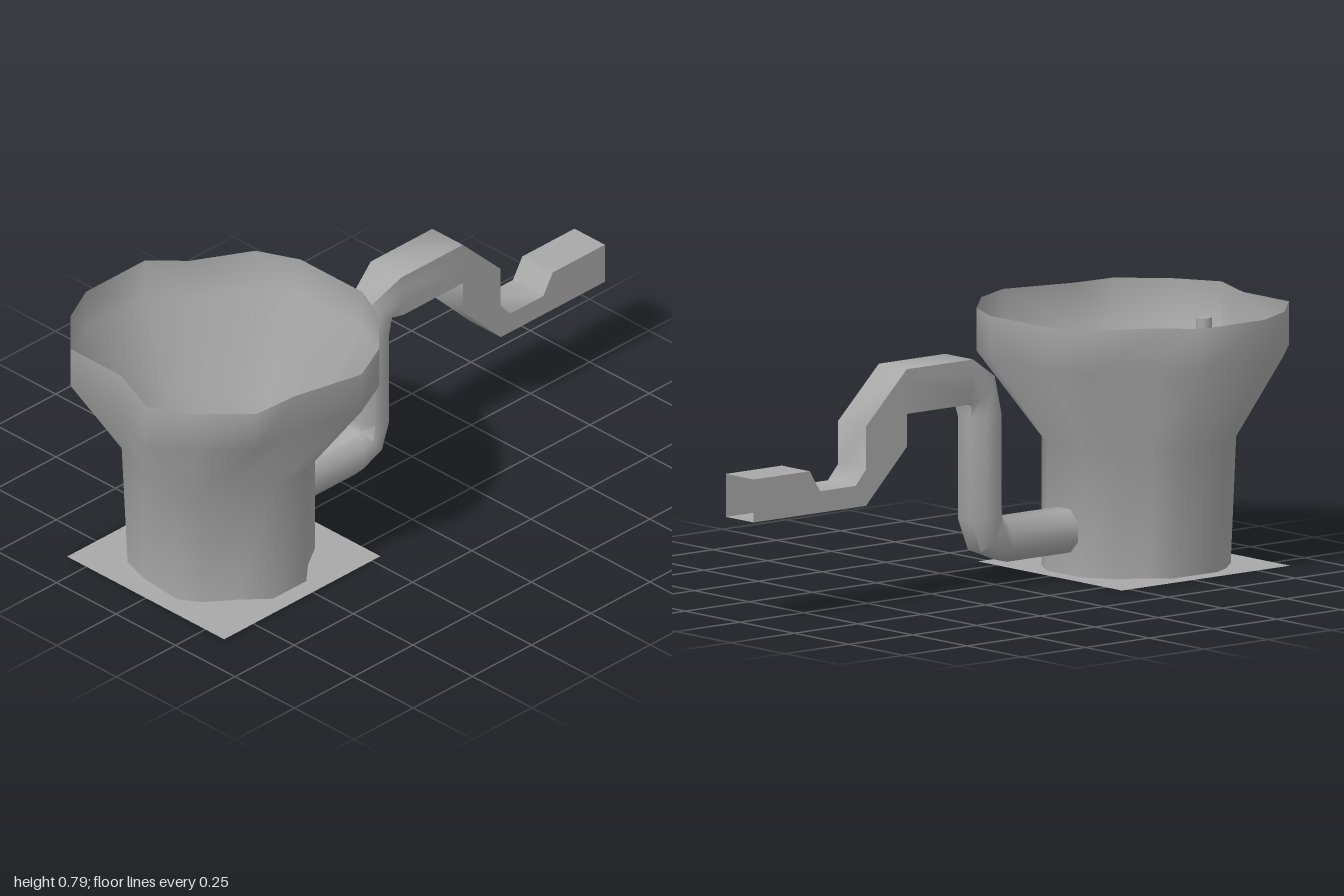
import * as THREE from 'three';
import { toCreasedNormals } from 'three/addons/utils/BufferGeometryUtils.js';

const CX = -0.545; // bowl axis

// Skin a list of closed rings of equal length
function loft(rings, crease) {
  const n = rings[0].length, index = [];
  for (let r = 0; r < rings.length - 1; r++) {
    for (let i = 0; i < n; i++) {
      const j = (i + 1) % n;
      const a = r * n + i, b = r * n + j, c = a + n, d = b + n;
      index.push(a, c, b, b, c, d);
    }
  }
  const geo = new THREE.BufferGeometry();
  geo.setAttribute('position', new THREE.Float32BufferAttribute(rings.flat(2), 3));
  geo.setIndex(index);
  return toCreasedNormals(geo, crease);
}

// Irregular outlines as [x, z], matched point for point
const rim = [
  [-0.09, 0.13], [-0.15, 0.26], [-0.28, 0.39], [-0.42, 0.455], [-0.65, 0.40], [-0.80, 0.39],
  [-0.93, 0.26], [-1, 0.13], [-0.93, -0.05], [-0.93, -0.26], [-0.80, -0.39], [-0.67, -0.455],
  [-0.42, -0.455], [-0.33, -0.36], [-0.15, -0.26], [-0.09, -0.13],
];
const neck = [
  [-0.27, 0.08], [-0.32, 0.16], [-0.40, 0.21], [-0.47, 0.272], [-0.61, 0.272], [-0.69, 0.20],
  [-0.77, 0.14], [-0.815, 0.07], [-0.80, -0.08], [-0.77, -0.18], [-0.70, -0.24], [-0.64, -0.272],
  [-0.47, -0.272], [-0.41, -0.22], [-0.33, -0.17], [-0.27, -0.08],
];

function ring(outline, y, scale = 1, back = 1) {
  return outline.map(([x, z]) => [CX + (x - CX) * scale, y, z * scale * (z < 0 ? back : 1)]);
}

export function createModel() {
  const group = new THREE.Group();
  const grey = new THREE.MeshStandardMaterial({ color: 0xa8a8a8, side: THREE.DoubleSide });
  grey.name = 'plain grey';
  const add = (name, geometry) => {
    const mesh = new THREE.Mesh(geometry, grey);
    mesh.name = name;
    group.add(mesh);
    return mesh;
  };

  // Open bowl: straight neck, flare, upright rim
  add('bowl', loft([
    ring(neck, 0), ring(neck, 0.39, 1, 1.14), ring(rim, 0.655), ring(rim, 0.785),
  ], 1.0));

  // Low mound inside the neck
  add('innerMound', loft([
    ring(neck, 0.01, 0.84), ring(neck, 0.07, 0.5), ring(neck, 0.1, 0.001),
  ], 1.2));

  // Thin square sheet under the bowl
  const plate = add('basePlate', new THREE.PlaneGeometry(0.66, 0.66));
  plate.rotation.x = -Math.PI / 2;
  plate.position.set(CX, 0.001, 0);

  // Small stud on the inner ledge
  const stud = add('stud', new THREE.CylinderGeometry(0.024, 0.024, 0.05, 12));
  stud.position.set(-0.93, 0.66, 0.13);

  // Pipe sections: [lower/outer x, y, upper/inner x, y, flat half width]
  const W = 0.064, R = 0.03;
  const sections = [
    [-0.30, 0.07, -0.30, 0.20, R],
    [-0.02, 0.07, -0.01, 0.20, R],
    [0.08, 0.11, 0.00, 0.21, R],
    [0.12, 0.21, 0.00, 0.24, R],
    [0.12, 0.52, 0.00, 0.52, R],
    [0.125, 0.56, 0.035, 0.64, 0.04],
    [0.15, 0.57, 0.14, 0.705, W],
    [0.40, 0.57, 0.40, 0.705, W],
    [0.40, 0.47, 0.56, 0.55, W],
    [0.56, 0.31, 0.56, 0.42, W],
    [0.60, 0.31, 0.60, 0.375, W],
    [0.74, 0.31, 0.74, 0.375, W],
    [0.78, 0.31, 0.78, 0.44, W],
    [1.00, 0.31, 1.00, 0.44, W],
  ];
  const rings = sections.map(([ax, ay, bx, by, f]) => {
    const at = (u, z) => [ax + (bx - ax) * u, ay + (by - ay) * u, z];
    const g = 0.27;
    return [
      at(0, -f), at(0, f), at(g, W), at(1 - g, W),
      at(1, f), at(1, -f), at(1 - g, -W), at(g, -W),
    ];
  });
  add('pipe', loft(rings, 0.9));

  return group;
}
